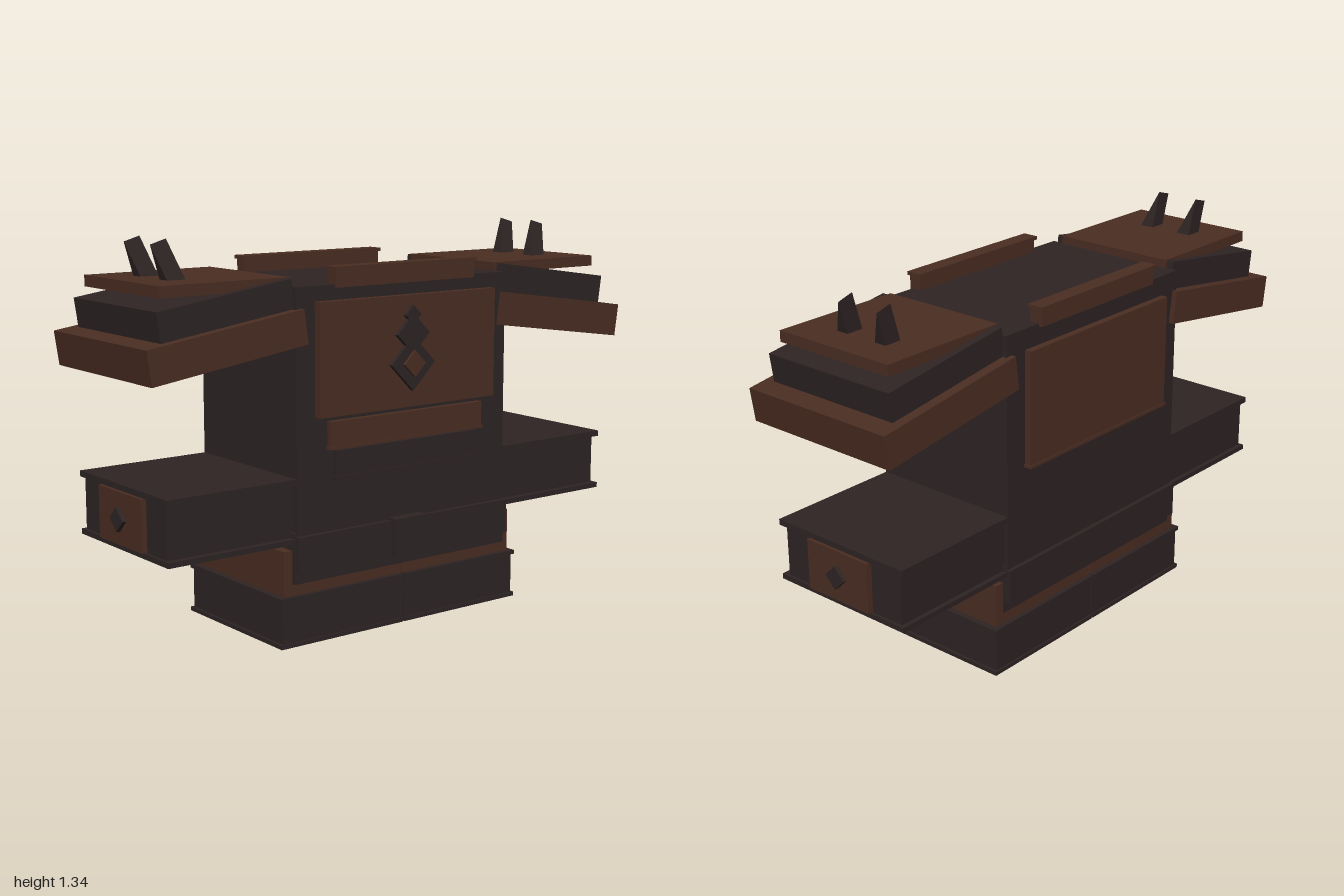
import * as THREE from 'three';

const dark = new THREE.MeshStandardMaterial({ name: 'dark iron', color: 0x2e2424 });
const brown = new THREE.MeshStandardMaterial({ name: 'brown leather', color: 0x4a2d22 });

export function createModel() {
  const model = new THREE.Group();
  model.name = 'armour';

  const add = (parent, name, geometry, material) => {
    const mesh = new THREE.Mesh(geometry, material);
    mesh.name = name;
    parent.add(mesh);
    return mesh;
  };
  // Box given by its limits on each axis
  const box = (parent, name, material, x0, x1, y0, y1, z0, z1) => {
    const mesh = add(parent, name, new THREE.BoxGeometry(x1 - x0, y1 - y0, z1 - z0), material);
    mesh.position.set((x0 + x1) / 2, (y0 + y1) / 2, (z0 + z1) / 2);
    return mesh;
  };
  // Diamond plate facing +z, with an optional diamond hole
  const diamond = (half, depth, hole = 0) => {
    const points = (r) => [[r, 0], [0, r], [-r, 0], [0, -r]].map(([x, y]) => new THREE.Vector2(x, y));
    const shape = new THREE.Shape(points(half));
    if (hole) shape.holes.push(new THREE.Path(points(hole).reverse()));
    return new THREE.ExtrudeGeometry(shape, { depth, bevelEnabled: false });
  };

  // Torso, hem and belt
  box(model, 'torso', dark, -0.447, 0.447, 0.37, 1.18, -0.288, 0.265);
  box(model, 'hem', dark, -0.457, 0.457, 0.21, 0.38, -0.277, 0.264);
  box(model, 'belt', dark, -0.453, 0.453, 0.25, 0.37, -0.303, 0.283);
  box(model, 'buckle', dark, -0.07, 0.07, 0.245, 0.378, 0.26, 0.304);

  // Chest, belly and back plates
  box(model, 'chestPlate', brown, -0.373, 0.373, 0.755, 1.13, 0.25, 0.295);
  box(model, 'upperBellyPlate', brown, -0.325, 0.325, 0.655, 0.738, 0.25, 0.287);
  box(model, 'upperBellyTrim', brown, -0.33, 0.33, 0.645, 0.655, 0.25, 0.29);
  box(model, 'lowerBellyPlate', dark, -0.302, 0.302, 0.555, 0.64, 0.25, 0.285);
  box(model, 'lowerBellyTrim', dark, -0.31, 0.31, 0.545, 0.555, 0.25, 0.29);
  box(model, 'backPlate', brown, -0.36, 0.36, 0.72, 1.11, -0.313, -0.27);
  box(model, 'backPlateTrim', brown, -0.365, 0.365, 0.71, 0.72, -0.317, -0.27);

  // Chest emblem of stacked diamonds
  add(model, 'emblemRing', diamond(0.092, 0.02, 0.045), dark).position.set(0, 0.903, 0.29);
  add(model, 'emblemGem', diamond(0.045, 0.03), brown).position.set(0, 0.903, 0.29);
  add(model, 'emblemMiddle', diamond(0.068, 0.02), dark).position.set(0, 1.002, 0.291);
  add(model, 'emblemTop', diamond(0.033, 0.018), dark).position.set(0, 1.065, 0.291);

  // Collars at front and back
  for (const [name, z] of [['frontCollar', 0.252], ['backCollar', -0.277]]) {
    box(model, name, brown, -0.293, 0.293, 1.17, 1.228, z - 0.023, z + 0.023);
    box(model, name + 'Lip', brown, -0.3, 0.3, 1.226, 1.238, z - 0.029, z + 0.029);
  }

  // Right-angled spike wedge, sloping along z
  const wedge = new THREE.ExtrudeGeometry(
    new THREE.Shape([[0, 0], [0.068, 0], [0, 0.172]].map(([x, y]) => new THREE.Vector2(x, y))),
    { depth: 0.06, bevelEnabled: false });
  wedge.rotateY(-Math.PI / 2);
  wedge.translate(0.03, 0, 0);

  for (const s of [1, -1]) {
    const side = new THREE.Group();
    side.name = s > 0 ? 'leftSide' : 'rightSide';
    model.add(side);
    const sideBox = (name, material, x0, x1, ...rest) =>
      box(side, name, material, Math.min(s * x0, s * x1), Math.max(s * x0, s * x1), ...rest);

    // Boot and thigh
    sideBox('boot', dark, 0.003, 0.502, 0.005, 0.165, -0.285, 0.26);
    sideBox('bootSole', dark, 0.003, 0.512, 0, 0.014, -0.291, 0.266);
    sideBox('bootCuff', dark, 0.003, 0.512, 0.156, 0.17, -0.291, 0.266);
    sideBox('thigh', brown, 0.003, 0.49, 0.165, 0.322, -0.275, 0.25);

    // Forearm with end plate and stud
    sideBox('forearm', dark, 0.44, 0.922, 0.35, 0.555, -0.272, 0.24);
    sideBox('forearmTopTrim', dark, 0.44, 0.932, 0.54, 0.56, -0.288, 0.264);
    sideBox('forearmBottomTrim', dark, 0.44, 0.932, 0.345, 0.363, -0.288, 0.264);
    sideBox('forearmPlate', brown, 0.9, 0.942, 0.364, 0.539, -0.146, 0.122);
    const stud = add(side, 'forearmStud', diamond(0.041, 0.02), dark);
    stud.position.set(s * 0.936, 0.45, -0.012);
    stud.rotation.y = s * Math.PI / 2;

    // Shoulder guard: two tilted slabs under a level plate
    const lower = add(side, 'shoulderLower', new THREE.BoxGeometry(0.582, 0.115, 0.588), brown);
    lower.position.set(s * 0.705, 1.013, -0.0125);
    const upper = add(side, 'shoulderUpper', new THREE.BoxGeometry(0.5, 0.1, 0.517), dark);
    upper.position.set(s * 0.69, 1.121, -0.0125);
    lower.rotation.z = upper.rotation.z = -s * 0.143;
    sideBox('shoulderTop', brown, 0.44, 0.918, 1.172, 1.209, -0.245, 0.22);

    // Spikes
    for (const z of [0.038, -0.125]) {
      const spike = add(side, 'spike', wedge, dark);
      spike.position.set(s * 0.762, 1.162, z);
      spike.rotation.z = -s * 0.28;
    }
  }
  return model;
}
